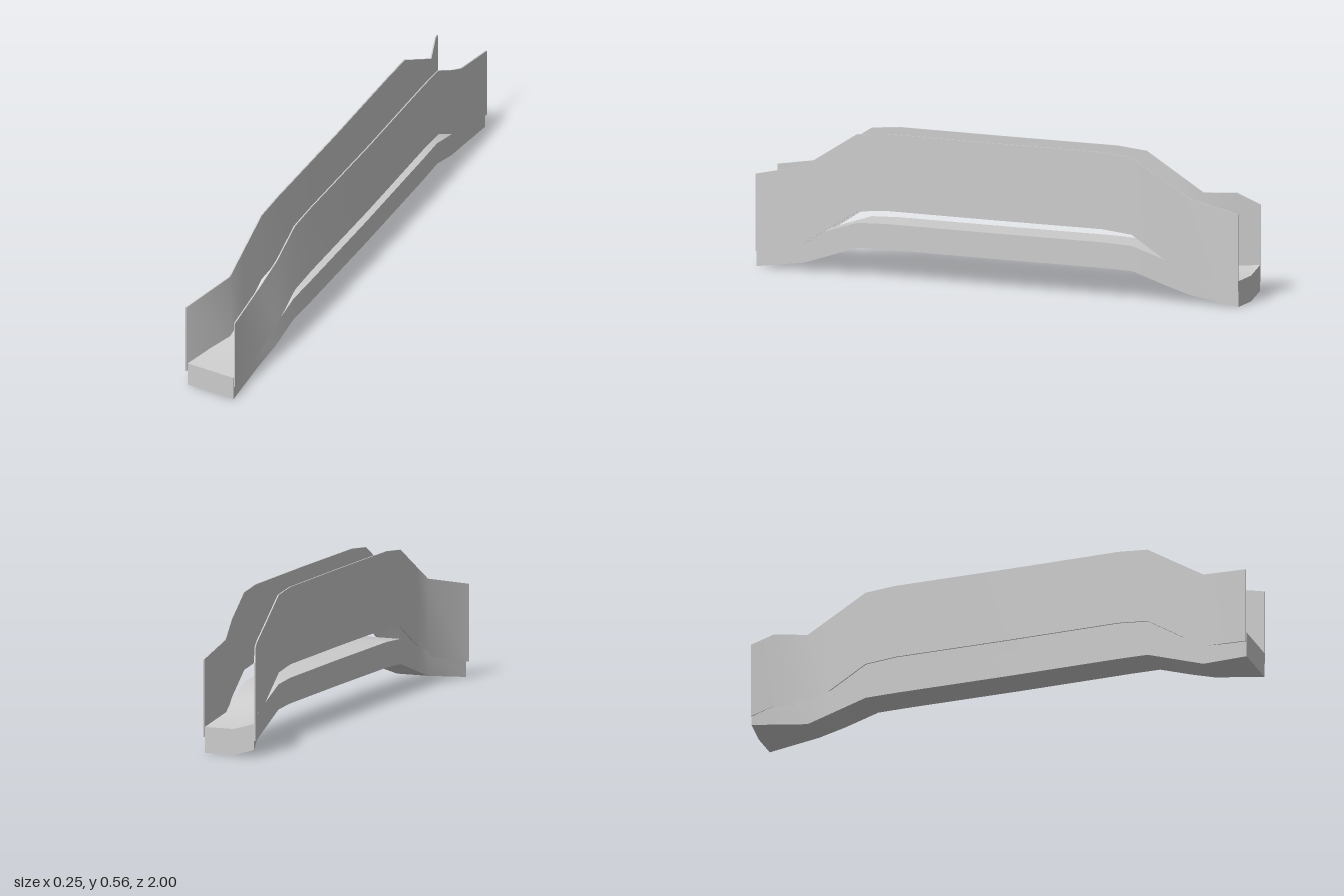
import * as THREE from 'three';
import { toCreasedNormals } from 'three/addons/utils/BufferGeometryUtils.js';

// Skin a list of closed cross-sections (counter-clockwise seen from +z, ordered front to back).
function loft(sections) {
  const n = sections[0].length, last = sections.length - 1;
  const index = [];
  for (let i = 0; i < last; i++) {
    for (let j = 0; j < n; j++) {
      const k = (j + 1) % n;
      const a = i * n + j, b = i * n + k, c = a + n, d = b + n;
      index.push(a, c, b, b, c, d);
    }
  }
  for (let j = 1; j < n - 1; j++) {
    index.push(0, j, j + 1);
    index.push(last * n, last * n + j + 1, last * n + j);
  }
  const geometry = new THREE.BufferGeometry();
  geometry.setAttribute('position', new THREE.Float32BufferAttribute(sections.flat(2), 3));
  geometry.setIndex(index);
  return toCreasedNormals(geometry, 0.5);
}

// Half of the span, from the front end to the middle:
// deck bottom, deck top, deck left/right edge, panel bottom/top, panel centre lines
const half = [
  { z: 1.0, d0: 0.0, d1: 0.1, xa: -0.115, xb: 0.083, p0: 0.06, p1: 0.36, pa: -0.124, pb: 0.088 },
  { z: 0.8, d0: 0.03, d1: 0.126, xa: -0.046, xb: 0.084, p0: 0.105, p1: 0.405, pa: -0.043, pb: 0.088 },
  { z: 0.7, d0: 0.065, d1: 0.163, xa: -0.04, xb: 0.101, p0: 0.168, p1: 0.468, pa: -0.038, pb: 0.106 },
  { z: 0.57, d0: 0.11, d1: 0.207, xa: -0.033, xb: 0.109, p0: 0.252, p1: 0.551, pa: -0.031, pb: 0.113 },
  { z: 0.45, d0: 0.114, d1: 0.213, xa: -0.028, xb: 0.115, p0: 0.265, p1: 0.563, pa: -0.026, pb: 0.118 },
  { z: 0.0, d0: 0.114, d1: 0.213, xa: -0.025, xb: 0.118, p0: 0.265, p1: 0.563, pa: -0.023, pb: 0.122 },
];
const mirrored = half.slice(0, -1).reverse().map((s) => ({ ...s, z: -s.z }));
const stations = [...half, ...mirrored];

function deckGeometry() {
  const end = stations.length - 1;
  return loft(stations.map((s, i) => {
    // the flared rear corner is lifted slightly
    const lift = i === end ? 0.025 : 0;
    const left = i === end ? -0.122 : s.xa;
    const mid = i === end || i === 0 ? -0.036 : s.xa + 0.01;
    return [
      [left, s.d0 + lift, s.z], [mid, s.d0, s.z], [s.xb, s.d0, s.z],
      [s.xb, s.d1, s.z], [mid, s.d1, s.z], [left, s.d1 + lift, s.z],
    ];
  }));
}

function panelGeometry(key, rows) {
  const t = 0.0025;
  return loft(rows.map((s) => [
    [s[key] - t, s.p0, s.z], [s[key] + t, s.p0, s.z],
    [s[key] + t, s.p1, s.z], [s[key] - t, s.p1, s.z],
  ]));
}

export function createModel() {
  const group = new THREE.Group();
  group.name = 'bridge';
  const material = new THREE.MeshStandardMaterial({ color: 0xcccccc });
  const add = (name, geometry) => {
    const mesh = new THREE.Mesh(geometry, material);
    mesh.name = name;
    group.add(mesh);
  };

  add('deck', deckGeometry());
  add('leftSidePanel', panelGeometry('pb', stations));

  // The right panel flares outwards and keeps its height longer at the rear
  const rows = [...stations];
  rows.splice(rows.length - 1, 0, { z: -0.92, p0: 0.105, p1: 0.405, pa: -0.09 });
  add('rightSidePanel', panelGeometry('pa', rows));
  return group;
}
